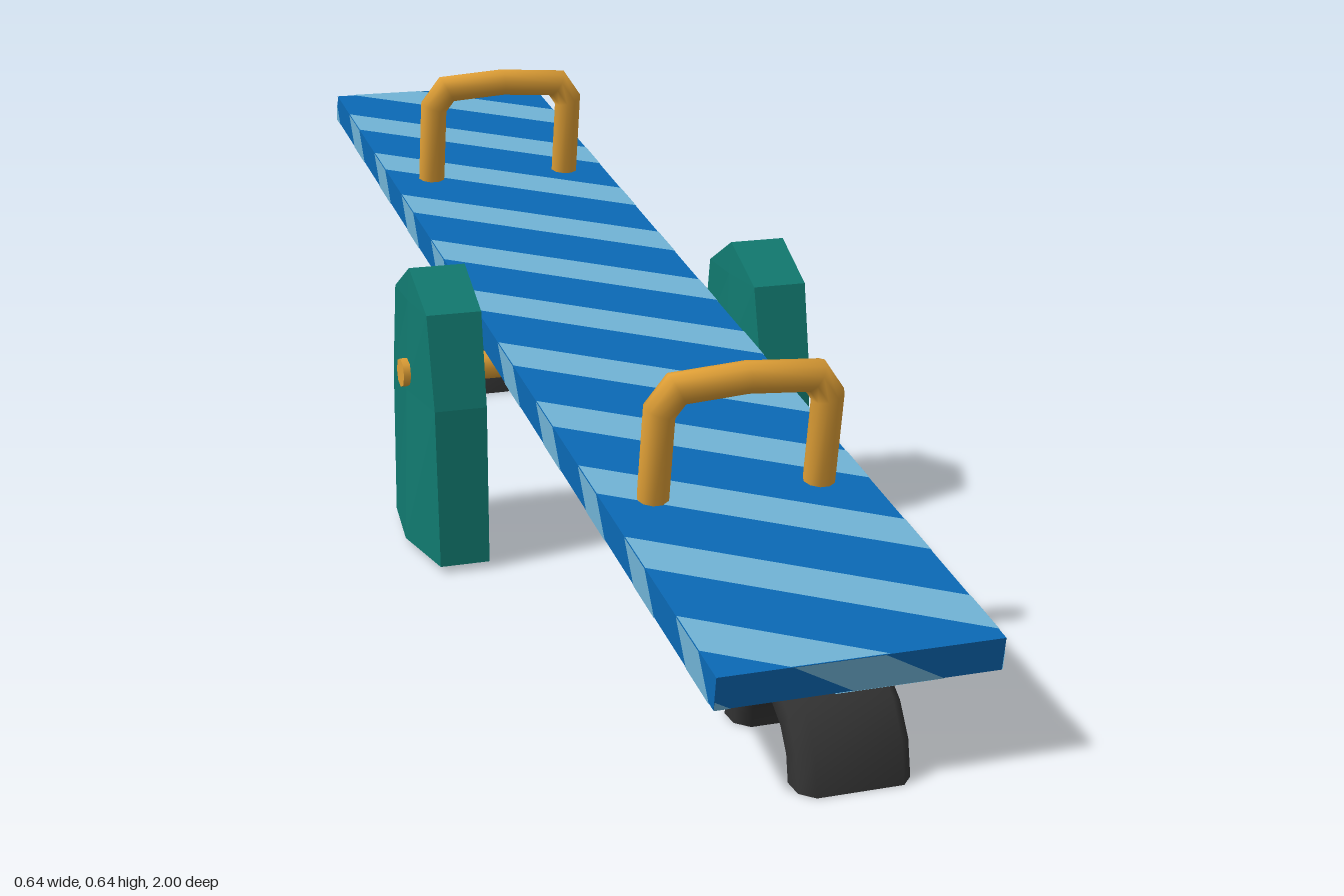
import * as THREE from 'three';

const mat = (name, color, side = THREE.FrontSide) => {
  const m = new THREE.MeshStandardMaterial({ color, side });
  m.name = name;
  return m;
};

// Skin over closed rings of points; flat gives faceted normals
function loft(rings, flat = false) {
  const n = rings[0].length, index = [];
  for (let i = 0; i < rings.length - 1; i++) {
    for (let j = 0; j < n; j++) {
      const a = i * n + j, b = i * n + (j + 1) % n;
      index.push(a, a + n, b, b, a + n, b + n);
    }
  }
  let g = new THREE.BufferGeometry();
  g.setAttribute('position', new THREE.Float32BufferAttribute(rings.flat(2), 3));
  g.setIndex(index);
  if (flat) g = g.toNonIndexed();
  g.computeVertexNormals();
  return g;
}

// Keep the part of a polygon where sign * v <= limit
function clip(poly, sign, limit) {
  const out = [];
  poly.forEach((p, i) => {
    const q = poly[(i + 1) % poly.length];
    const dp = sign * p[1] - limit, dq = sign * q[1] - limit;
    if (dp <= 0) out.push(p);
    if (dp * dq < 0) {
      const t = dp / (dp - dq);
      out.push([p[0] + (q[0] - p[0]) * t, p[1] + (q[1] - p[1]) * t]);
    }
  });
  return out;
}

// Slanted bands painted on a rectangular face; map places (u, v) in space
function bands({ halfU, halfV, start, width, period, slope, map }) {
  const pos = [];
  for (let k = -14; k <= 14; k++) {
    const lo = start + k * period, hi = lo + width, d = slope * halfU;
    let poly = [[-halfU, lo - d], [halfU, lo + d], [halfU, hi + d], [-halfU, hi - d]];
    poly = clip(clip(poly, 1, halfV), -1, halfV);
    for (let i = 1; i < poly.length - 1; i++) {
      const tri = [poly[0], poly[i], poly[i + 1]].map(([u, v]) => map(u, v));
      pos.push(...tri.flat());
    }
  }
  const g = new THREE.BufferGeometry();
  g.setAttribute('position', new THREE.Float32BufferAttribute(pos, 3));
  g.computeVertexNormals();
  return g;
}

// Round tube swept along points in the xy plane, with mitred bends
function bentTube(points, r, sides) {
  const pts = points.map(p => new THREE.Vector2(...p));
  const rings = pts.map((p, i) => {
    const a = p.clone().sub(pts[Math.max(i - 1, 0)]).normalize();
    const b = pts[Math.min(i + 1, pts.length - 1)].clone().sub(p).normalize();
    const t = a.clone().add(b).normalize();
    const m = r / Math.max(t.dot(a.length() ? a : b), 0.5);
    return Array.from({ length: sides }, (_, j) => {
      const w = j / sides * Math.PI * 2, c = Math.cos(w) * m;
      return [p.x - t.y * c, p.y + t.x * c, -Math.sin(w) * r];
    });
  });
  return loft(rings);
}

export function createModel() {
  const model = new THREE.Group();
  model.name = 'seesaw';
  const blue = mat('blue', 0x0b69b5);
  const pale = mat('pale blue', 0x70b3d5, THREE.DoubleSide);
  const green = mat('green', 0x117a70, THREE.DoubleSide);
  const yellow = mat('yellow', 0xdf9f36, THREE.DoubleSide);
  const rubber = mat('rubber', 0x333333, THREE.DoubleSide);
  const add = (parent, name, geometry, material) => {
    const m = new THREE.Mesh(geometry, material);
    m.name = name;
    parent.add(m);
    return m;
  };

  // Tilted plank with its stripes and handles
  const plank = new THREE.Group();
  plank.name = 'plank';
  plank.position.set(0, 0.3275, 0.005);
  plank.rotation.x = THREE.MathUtils.degToRad(10);
  model.add(plank);
  const W = 0.19, T = 0.023, L = 1.006, e = 0.001;
  add(plank, 'board', new THREE.BoxGeometry(W * 2, T * 2, L * 2), blue);

  const long = { halfV: L, start: 0.985, width: 0.08, period: 0.197 };
  for (const s of [1, -1]) {
    add(plank, s > 0 ? 'topStripes' : 'undersideStripes', bands({
      ...long, halfU: W, slope: 0.62 * s, map: (u, v) => [u, s * (T + e), v] }), pale);
    add(plank, 'sideStripes', bands({
      ...long, halfU: T, start: long.start + s * 0.62 * W + T, slope: -1,
      map: (u, v) => [s * (W + e), u, v] }), pale);
    add(plank, 'endStripes', bands({
      halfU: T, halfV: W, start: -0.05, width: 0.12, period: 0.28, slope: -1.8,
      map: (u, v) => [s * v, u, s * (L + e)] }), pale);
  }

  // Handles stand square to the plank
  const half = [[0.12, -0.01], [0.12, 0.13], [0.098, 0.161]];
  const path = [...half.map(([x, y]) => [-x, y]), [0, 0.168], ...half.slice().reverse()];
  for (const z of [0.58, -0.58]) {
    add(plank, 'handle', bentTube(path, 0.0225, 10), yellow).position.set(0, T, z);
  }

  // Supports: hollow tapering posts with a peaked top, open below
  // level: y, half depth, half width at the edges, half width in the middle
  const levels = [
    [0.01, 0.137, 0.038, 0.0575],
    [0.25, 0.126, 0.04, 0.051],
    [0.39, 0.095, 0.042, 0.0465],
    [0.44, 0, 0.0435, 0.0435],
  ];
  const post = loft(levels.map(([y, d, a, b]) =>
    [[a, y, d], [b, y, 0], [a, y, -d], [-a, y, -d], [-b, y, 0], [-a, y, d]].reverse()), true);
  for (const s of [1, -1]) {
    add(model, 'support', post, green).position.x = s * 0.26;
  }

  // Axle through both supports
  const axle = add(model, 'axle', new THREE.CylinderGeometry(0.0225, 0.0225, 0.64, 8), yellow);
  axle.rotation.z = Math.PI / 2;
  axle.position.y = 0.2775;

  // Half-buried tyres under both ends
  const section = [[0.075, 0.016], [0.058, 0.035], [-0.058, 0.035], [-0.075, 0.016],
    [-0.075, -0.016], [-0.058, -0.035], [0.058, -0.035], [0.075, -0.016]];
  const tyre = loft(Array.from({ length: 9 }, (_, i) => {
    const a = i / 8 * Math.PI;
    return section.map(([x, r]) =>
      [x, Math.max(0, (0.107 + r) * Math.sin(a)), (0.107 + r) * Math.cos(a)]);
  }));
  for (const z of [0.86, -0.86]) add(model, 'tyre', tyre, rubber).position.z = z;

  return model;
}
